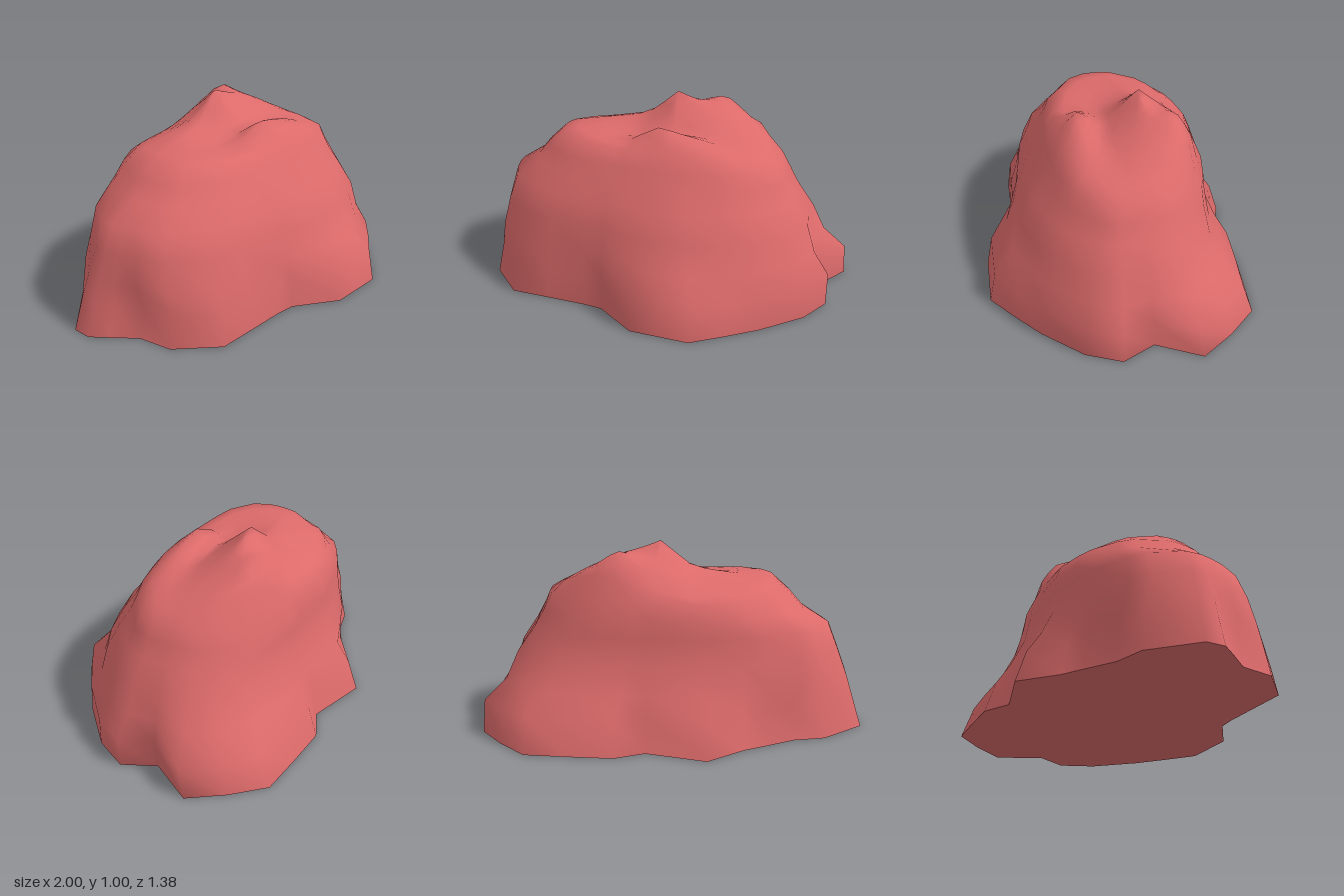
import * as THREE from 'three';

const rockRed = new THREE.MeshStandardMaterial({ color: 0xdc6a6a });
rockRed.name = 'rockRed';

// ground outline of the boulder, [x, z], from the right end round the back
const OUTLINE = [
  [-1, -0.13], [-0.79, -0.33], [-0.63, -0.37], [-0.47, -0.47], [-0.37, -0.53], [-0.19, -0.69],
  [0.12, -0.6], [0.27, -0.675], [0.5, -0.665], [0.72, -0.65], [0.87, -0.5], [1, -0.33],
  [0.885, -0.1], [0.975, 0.07], [0.9, 0.25], [0.72, 0.45], [0.58, 0.57], [0.43, 0.69],
  [0.27, 0.69], [0.12, 0.69], [-0.1, 0.54], [-0.2, 0.53], [-0.42, 0.53], [-0.62, 0.53],
  [-0.81, 0.35], [-0.84, 0.17], [-0.93, 0.06], [-1, -0.03],
];
// flanks: height, reach to -x, +x, -z, +z, and how far the outline rounds off
const LEVELS = [
  [0, 1, 1, 0.69, 0.69, 0],
  [0.17, 0.95, 1, 0.635, 0.66, 0.1],
  [0.28, 0.92, 0.91, 0.565, 0.57, 0.5],
  [0.42, 0.87, 0.86, 0.5, 0.52, 0.7],
  [0.55, 0.82, 0.77, 0.48, 0.45, 0.8],
  [0.64, 0.68, 0.72, 0.475, 0.38, 0.85],
  [0.72, 0.61, 0.68, 0.44, 0.34, 0.9],
];
// crown heights on a coarse grid: back ridge, saddle and front ridge
const GRID_X = [-0.6, -0.35, -0.1, 0.07, 0.28, 0.48, 0.67];
const GRID_Z = [-0.45, -0.31, -0.15, 0.05, 0.17, 0.29, 0.36];
const CROWN = [
  [0.71, 0.71, 0.71, 0.72, 0.72, 0.72, 0.71],
  [0.73, 0.76, 0.8, 0.87, 0.97, 0.84, 0.73],
  [0.77, 0.82, 0.87, 1, 0.93, 0.85, 0.74],
  [0.79, 0.82, 0.8, 0.82, 0.83, 0.8, 0.74],
  [0.79, 0.81, 0.8, 0.9, 0.86, 0.78, 0.73],
  [0.76, 0.79, 0.79, 0.79, 0.79, 0.75, 0.71],
  [0.71, 0.71, 0.71, 0.71, 0.71, 0.71, 0.7],
];
const SUMMIT = [0.07, 1, -0.15];

// grid cell and fraction of a coordinate
function locate(list, v) {
  let i = 0;
  while (i < list.length - 2 && v > list[i + 1]) i++;
  return [i, THREE.MathUtils.clamp((v - list[i]) / (list[i + 1] - list[i]), 0, 1)];
}

function crownHeight(x, z) {
  const [i, u] = locate(GRID_X, x), [j, v] = locate(GRID_Z, z);
  const { lerp } = THREE.MathUtils;
  return lerp(lerp(CROWN[j][i], CROWN[j][i + 1], u), lerp(CROWN[j + 1][i], CROWN[j + 1][i + 1], u), v);
}

// smooth skin over rings of [x, y, z], closed with a tip point
function loft(rings, tip) {
  const n = rings[0].length, index = [];
  const points = [...rings.flat(), tip];
  const last = points.length - 1;
  for (let r = 0; r < rings.length; r++) {
    for (let j = 0; j < n; j++) {
      const a = r * n + j, b = r * n + (j + 1) % n;
      if (r === rings.length - 1) index.push(a, last, b);
      else index.push(a, a + n, b + n, a, b + n, b);
    }
  }
  const geometry = new THREE.BufferGeometry();
  geometry.setAttribute('position', new THREE.Float32BufferAttribute(points.flat(), 3));
  geometry.setIndex(index);
  geometry.computeVertexNormals();
  return geometry;
}

function boulderGeometry() {
  // flanks: the outline eases into a full, rounded oblong with height
  const rings = LEVELS.map(([y, xn, xp, zn, zp, round]) => OUTLINE.map(([x, z]) => {
    const sz = z / 0.69;
    const reach = (Math.abs(x) ** 2.4 + Math.abs(sz) ** 2.4) ** (1 / 2.4);
    const k = 1 + round * (1 / reach - 1);
    return [x * k * (x < 0 ? xn : xp), y, sz * k * (z < 0 ? zn : zp)];
  }));
  // crown: the top ring drawn in towards the summit
  const rim = rings[rings.length - 1];
  for (const s of [0.88, 0.77, 0.66, 0.55, 0.44, 0.33, 0.22, 0.11]) {
    rings.push(rim.map(([rx, , rz]) => {
      const x = SUMMIT[0] + (rx - SUMMIT[0]) * s, z = SUMMIT[2] + (rz - SUMMIT[2]) * s;
      return [x, crownHeight(x, z), z];
    }));
  }
  return loft(rings, SUMMIT);
}

// flat underside
function baseGeometry() {
  const shape = new THREE.Shape(OUTLINE.map(([x, z]) => new THREE.Vector2(x, z)));
  return new THREE.ShapeGeometry(shape).rotateX(Math.PI / 2);
}

export function createModel() {
  const model = new THREE.Group();
  model.name = 'rock';
  const parts = { boulder: boulderGeometry(), underside: baseGeometry() };
  for (const [name, geometry] of Object.entries(parts)) {
    const mesh = new THREE.Mesh(geometry, rockRed);
    mesh.name = name;
    model.add(mesh);
  }
  return model;
}
